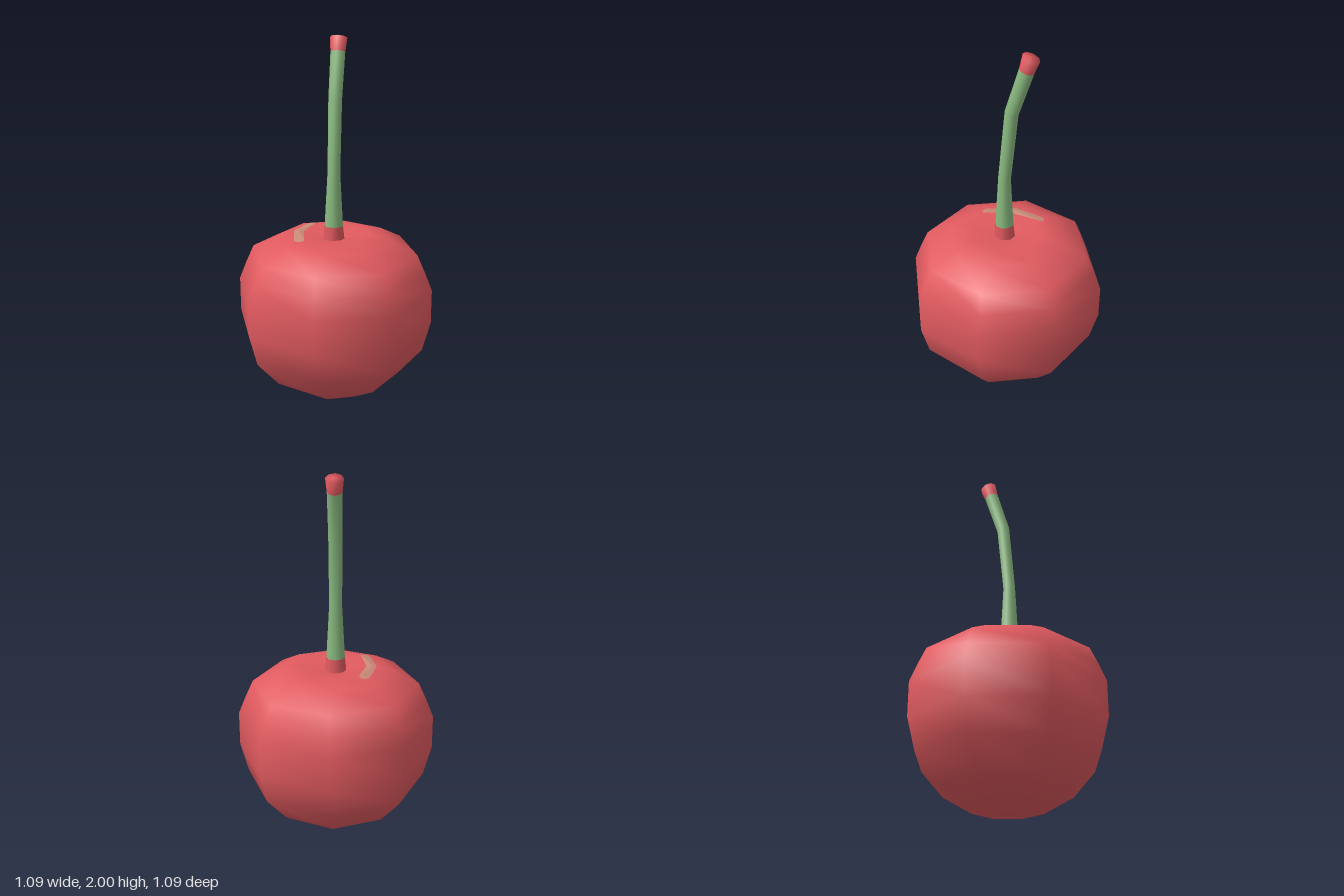
import * as THREE from 'three';

const SIDES = 8;

// Fruit outline as [radius, height], bottom to top, ending in the dip under the stem
const PROFILE = [
  [0, 0], [0.2, 0.028], [0.37, 0.13], [0.5, 0.28], [0.545, 0.45], [0.545, 0.64],
  [0.505, 0.74], [0.46, 0.84], [0.315, 0.915], [0.2, 0.942], [0, 0.9],
];

// Stem rings: height, z, radius, backward tilt
const STEM = [
  [0.9, 0.006, 0.06, 0], [0.985, 0.008, 0.051, 0.02], [1.28, 0.007, 0.035, 0.08],
  [1.67, -0.03, 0.037, 0.2], [1.91, -0.105, 0.04, 0.33], [1.982, -0.127, 0.047, 0.39],
  [1.985, -0.128, 0, 0.39],
];

function mesh(name, geometry, material) {
  const m = new THREE.Mesh(geometry, material);
  m.name = name;
  return m;
}

function fromIndexed(positions, index) {
  const g = new THREE.BufferGeometry();
  g.setAttribute('position', new THREE.Float32BufferAttribute(positions, 3));
  g.setIndex(index);
  g.computeVertexNormals();
  return g;
}

// Height of the faceted fruit top at a point near the rim
function topHeight(x, z) {
  let radius = 0;
  for (let i = 0; i < SIDES; i++) {
    const a = ((i + 0.5) / SIDES) * Math.PI * 2;
    radius = Math.max(radius, (x * Math.cos(a) + z * Math.sin(a)) / Math.cos(Math.PI / SIDES));
  }
  return radius < 0.2
    ? 0.9 + (radius / 0.2) * 0.042
    : 0.942 - ((radius - 0.2) / 0.115) * 0.027;
}

// Tilted rings joined into one smooth tube; one colour group per section
function stemGeometry() {
  const positions = [], index = [];
  for (const [y, z, r, tilt] of STEM) {
    for (let i = 0; i < SIDES; i++) {
      const a = (i / SIDES) * Math.PI * 2;
      const across = r * Math.cos(a);
      positions.push(r * Math.sin(a), y + across * Math.sin(tilt), z + across * Math.cos(tilt));
    }
  }
  for (let k = 0; k < STEM.length - 1; k++) {
    for (let i = 0; i < SIDES; i++) {
      const a = k * SIDES + i, b = k * SIDES + ((i + 1) % SIDES);
      index.push(a, b, b + SIDES, a, b + SIDES, a + SIDES);
    }
  }
  const g = fromIndexed(positions, index);
  const perRing = SIDES * 6;
  g.addGroup(0, perRing, 0);
  g.addGroup(perRing, perRing * 3, 1);
  g.addGroup(perRing * 4, perRing * 2, 0);
  return g;
}

// Bent, round-ended strip lying on the fruit's rim
function highlightGeometry() {
  const positions = [], index = [];
  const rows = 24, cols = 6;
  for (let j = 0; j <= rows; j++) {
    const t = -Math.cos((j / rows) * Math.PI);
    const z = t * 0.178;
    const centre = -0.198 + Math.abs(t) * 0.042;
    const end = Math.max(0, (Math.abs(t) - 0.88) / 0.12);
    const half = 0.028 * Math.sqrt(Math.max(0, 1 - end * end));
    for (let i = 0; i <= cols; i++) {
      const x = centre + ((i / cols) * 2 - 1) * half;
      positions.push(x, topHeight(x, z) + 0.003, z);
    }
  }
  for (let j = 0; j < rows; j++) {
    for (let i = 0; i < cols; i++) {
      const a = j * (cols + 1) + i, b = a + cols + 1;
      index.push(a, b, b + 1, a, b + 1, a + 1);
    }
  }
  return fromIndexed(positions, index);
}

export function createModel() {
  const red = new THREE.MeshStandardMaterial({ color: 0xe05a5f });
  red.name = 'cherry red';
  const green = new THREE.MeshStandardMaterial({ color: 0x8aba80 });
  green.name = 'stem green';
  const tan = new THREE.MeshStandardMaterial({ color: 0xc98a78 });
  tan.name = 'highlight tan';

  const group = new THREE.Group();
  group.name = 'cherry';
  const points = PROFILE.map(([r, y]) => new THREE.Vector2(r, y));
  group.add(
    mesh('fruit', new THREE.LatheGeometry(points, SIDES), red),
    mesh('stem', stemGeometry(), [red, green]),
    mesh('highlight', highlightGeometry(), tan),
  );
  return group;
}
